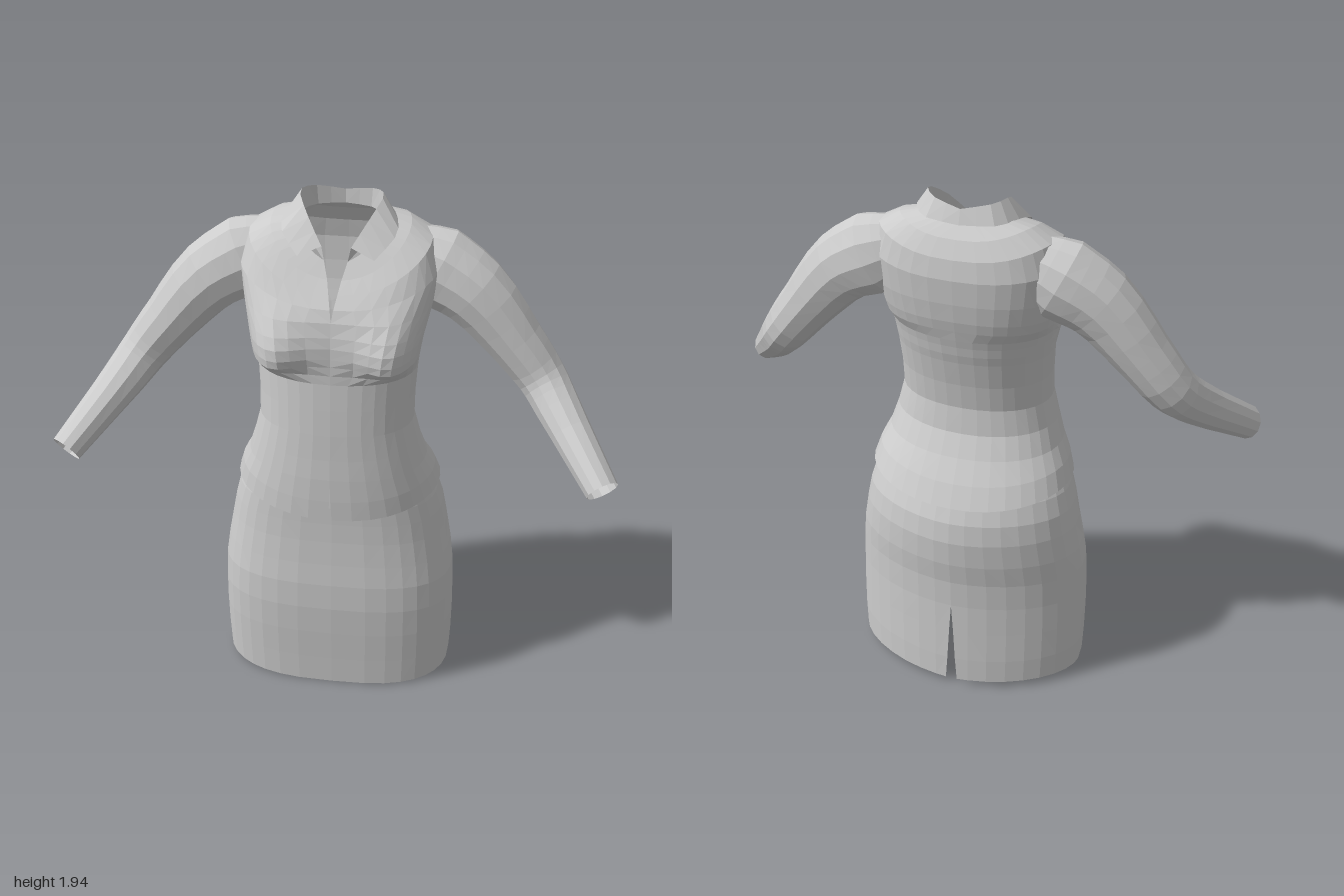
import * as THREE from 'three';

const material = new THREE.MeshStandardMaterial({ color: 0xcccccc, flatShading: true, side: THREE.DoubleSide });
const { smoothstep, lerp } = THREE.MathUtils;

// Surface through rows of Vector3 points; side -1 mirrors it across x
function sheet(name, rows, side = 1) {
  const cols = rows[0].length, pos = [], index = [];
  for (const row of rows) for (const p of row) pos.push(p.x * side, p.y, p.z);
  for (let j = 0; j < rows.length - 1; j++) {
    for (let i = 0; i < cols - 1; i++) {
      const a = j * cols + i, b = a + 1, c = b + cols, d = a + cols;
      if (side > 0) index.push(a, b, c, a, c, d);
      else index.push(a, c, b, a, d, c);
    }
  }
  const geo = new THREE.BufferGeometry();
  geo.setAttribute('position', new THREE.Float32BufferAttribute(pos, 3));
  geo.setIndex(index);
  geo.computeVertexNormals();
  const mesh = new THREE.Mesh(geo, material);
  mesh.name = name;
  return mesh;
}

// Half ring from front centre to back centre; lower powers give squarer corners.
// r = [front y, side y, back y, half width, front z, back z, front gap, back gap]
function halfRing([yF, yS, yB, hw, zF, zB, gapF = 0, gapB = 0], powerF, powerB, steps = 18) {
  const pts = [];
  for (let i = 0; i <= steps; i++) {
    const a = Math.PI * i / steps, c = Math.cos(a);
    const [gap, power] = c > 0 ? [gapF, powerF] : [gapB, powerB];
    pts.push(new THREE.Vector3(
      Math.max(gap, hw * Math.pow(Math.max(0, Math.sin(a)), power)),
      yS + (yF - yB) / 2 * c + ((yF + yB) / 2 - yS) * c * c,
      (zF + zB) / 2 + (zF - zB) / 2 * Math.sign(c) * Math.pow(Math.abs(c), power)));
  }
  return pts;
}

// Bust fullness, with a steep, curved underside
function shapeBust(p) {
  if (p.z < 0) return;
  const off = p.x - 0.215, low = 1.35 + 1.6 * off * off;
  const wy = smoothstep(p.y, low, low + 0.08) * (1 - smoothstep(p.y, 1.46, 1.66));
  p.z += 0.076 * wy * Math.exp(-Math.pow(off / 0.105, 2));
}

const skirtRows = [
  [0, 0.03, 0.02, 0.437, 0.203, -0.305, 0, 0.022],
  [0.12, 0.13, 0.12, 0.441, 0.208, -0.305, 0, 0.015],
  [0.25, 0.25, 0.25, 0.442, 0.215, -0.302, 0, 0.008],
  [0.37, 0.37, 0.37, 0.44, 0.219, -0.3],
  [0.48, 0.48, 0.48, 0.435, 0.216, -0.304],
  [0.57, 0.57, 0.57, 0.423, 0.207, -0.317],
  [0.67, 0.67, 0.67, 0.405, 0.2, -0.322],
  [0.75, 0.75, 0.75, 0.39, 0.197, -0.312],
  [0.82, 0.82, 0.82, 0.37, 0.196, -0.285],
  [0.9, 0.9, 0.9, 0.335, 0.19, -0.23],
];

const jacketRows = [
  [0.8, 0.855, 0.81, 0.375, 0.24, -0.302, 0.007],
  [0.88, 0.92, 0.89, 0.355, 0.24, -0.262, 0.002],
  [0.97, 0.98, 0.97, 0.325, 0.237, -0.212],
  [1.05, 1.06, 1.05, 0.3, 0.232, -0.172],
  [1.15, 1.15, 1.15, 0.277, 0.228, -0.16],
  [1.25, 1.25, 1.25, 0.277, 0.222, -0.175],
  [1.35, 1.35, 1.35, 0.283, 0.215, -0.197],
  [1.385, 1.385, 1.385, 0.287, 0.215, -0.207],
  [1.42, 1.42, 1.42, 0.292, 0.216, -0.214],
  [1.45, 1.45, 1.45, 0.297, 0.216, -0.222],
  [1.49, 1.49, 1.49, 0.305, 0.215, -0.232],
  [1.53, 1.53, 1.53, 0.315, 0.21, -0.242],
  [1.58, 1.6, 1.6, 0.33, 0.2, -0.252],
  [1.62, 1.71, 1.69, 0.345, 0.183, -0.258, 0.006],
  [1.66, 1.805, 1.76, 0.315, 0.15, -0.246, 0.015],
  [1.7, 1.845, 1.82, 0.24, 0.115, -0.215, 0.024],
  [1.75, 1.865, 1.865, 0.14, 0.08, -0.17, 0.04],
];

// Sleeve stations from inside the shoulder to the cuff: x, y, z, height radius, depth radius
const sleeveStations = [
  [0.19, 1.735, -0.095, 0.1, 0.08], [0.33, 1.675, -0.093, 0.15, 0.117], [0.46, 1.6, -0.077, 0.13, 0.114],
  [0.615, 1.425, -0.062, 0.102, 0.102], [0.715, 1.3, -0.04, 0.088, 0.092],
  [0.78, 1.22, 0.03, 0.08, 0.084], [0.95, 1.035, 0.262, 0.058, 0.067],
];

function sleeveRows(sides = 12, steps = 18) {
  const path = new THREE.CatmullRomCurve3(sleeveStations.map(([x, y, z]) => new THREE.Vector3(x, y, z)));
  const rows = [], last = sleeveStations.length - 1;
  for (let j = 0; j <= steps; j++) {
    const t = j / steps, k = Math.min(last - 1, Math.floor(t * last));
    const [height, depth] = [3, 4].map(n => lerp(sleeveStations[k][n], sleeveStations[k + 1][n], t * last - k));
    const centre = path.getPoint(t), dir = path.getTangent(t);
    const u = new THREE.Vector3(0, 0, 1).cross(dir).normalize();
    const v = dir.clone().cross(u);
    const ring = [];
    for (let i = 0; i <= sides; i++) {
      const a = 2 * Math.PI * i / sides;
      ring.push(centre.clone().addScaledVector(u, height * Math.cos(a)).addScaledVector(v, depth * Math.sin(a)));
    }
    rows.push(ring);
  }
  return rows;
}

// Collar edges, each from front to back centre: fall edge, folded top, neckline
const collarEdges = [
  [[0.13, 1.765, 0.085], [0.195, 1.83, 0.015], [0.188, 1.866, -0.07], [0.13, 1.866, -0.163], [0, 1.86, -0.186]],
  [[0.05, 1.8, 0.07], [0.107, 1.885, 0.005], [0.142, 1.935, -0.075], [0.105, 1.93, -0.137], [0, 1.91, -0.167]],
  [[0.04, 1.75, 0.077], [0.1, 1.81, 0.015], [0.138, 1.86, -0.06], [0.1, 1.86, -0.137], [0, 1.86, -0.165]],
];

export function createModel() {
  const model = new THREE.Group();
  model.name = 'skirtSuit';

  const skirt = skirtRows.map(r => halfRing(r, 0.7, 1.1));
  // The chest is squarer in front, the shoulder blades squarer behind
  const jacket = jacketRows.map((r, j) => halfRing(r, j > 6 && j < 13 ? 0.75 : 0.88, j > 9 ? 0.78 : 0.93));
  jacket.flat().forEach(shapeBust);
  const sleeve = sleeveRows();
  const collar = collarEdges.map(edge =>
    new THREE.CatmullRomCurve3(edge.map(p => new THREE.Vector3(...p))).getPoints(9));

  // Every part is mirrored across the centre line
  for (const [side, label] of [[1, 'left'], [-1, 'right']]) {
    model.add(
      sheet(label + 'Skirt', skirt, side),
      sheet(label + 'Jacket', jacket, side),
      sheet(label + 'Sleeve', sleeve, side),
      sheet(label + 'Collar', collar, side));
  }
  return model;
}
